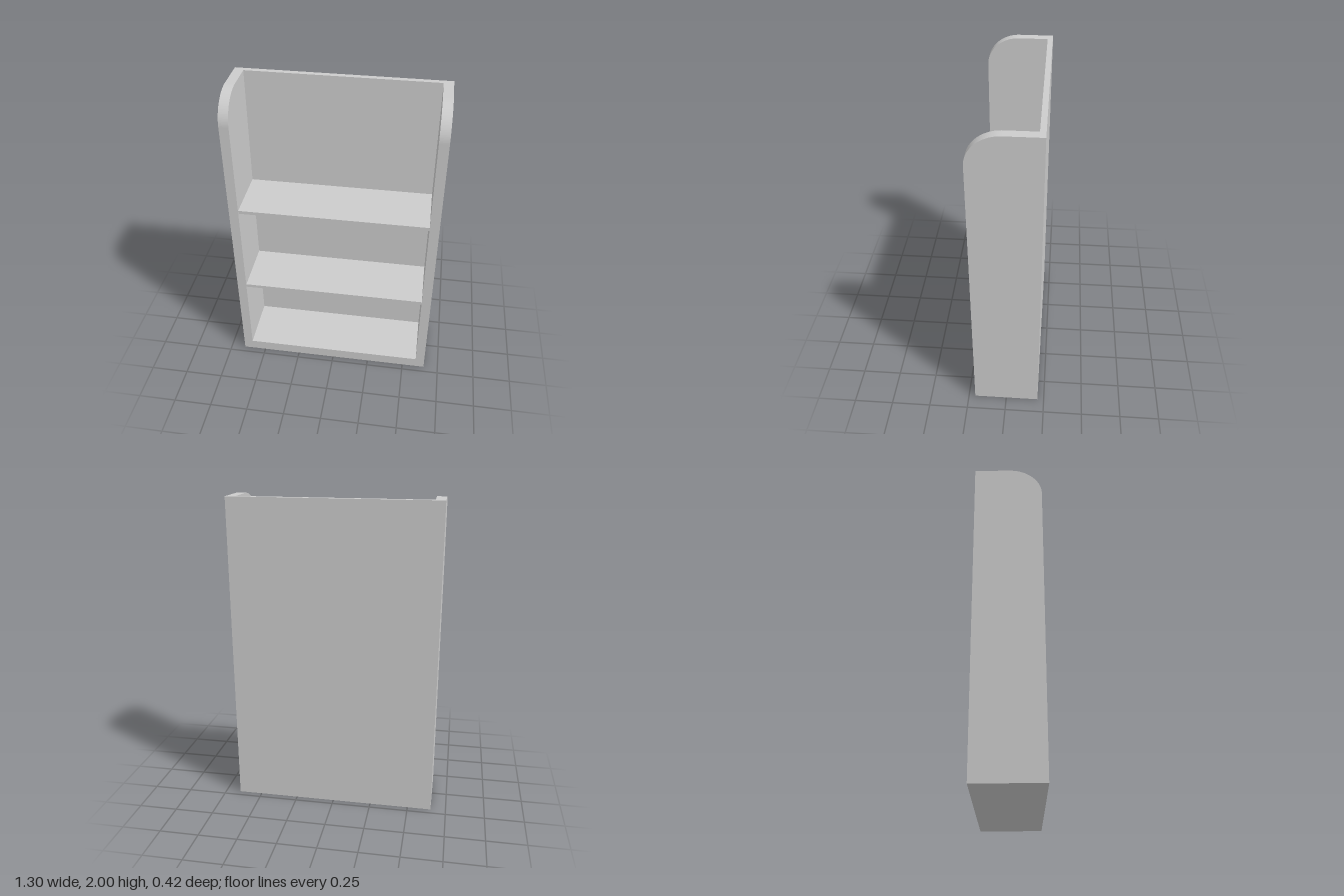
import * as THREE from 'three';

const W = 0.652, INNER = 0.592, D = 0.208, H = 2, FLOOR = 0.07;

// Extrudes a (z, y) profile along x, from x0 to x1
function extrudeAcross(shape, x0, x1, material, name) {
  const geometry = new THREE.ExtrudeGeometry(shape, { depth: x1 - x0, bevelEnabled: false, curveSegments: 16 });
  geometry.rotateY(-Math.PI / 2); // profile x -> +z, depth -> -x
  geometry.translate(x1, 0, 0);
  const mesh = new THREE.Mesh(geometry, material);
  mesh.name = name;
  return mesh;
}

function createBoard(name, y0, y1, z0, z1, material) {
  const mesh = new THREE.Mesh(new THREE.BoxGeometry(INNER * 2, y1 - y0, z1 - z0), material);
  mesh.position.set(0, (y0 + y1) / 2, (z0 + z1) / 2);
  mesh.name = name;
  return mesh;
}

export function createModel() {
  const group = new THREE.Group();
  group.name = 'bookcase';
  const material = new THREE.MeshStandardMaterial({ color: 0xcccccc });

  // Side panels with a rounded upper front corner
  const side = new THREE.Shape();
  side.moveTo(-D, 0);
  side.lineTo(D, 0);
  side.lineTo(D, H - 0.18);
  side.absellipse(D - 0.2, H - 0.18, 0.2, 0.18, 0, Math.PI / 2, false);
  side.lineTo(-D, H);
  side.closePath();
  group.add(extrudeAcross(side, INNER, W, material, 'leftSide'));
  group.add(extrudeAcross(side, -W, -INNER, material, 'rightSide'));

  // Back panel, thinning slightly towards the top
  const back = new THREE.Shape([
    [-D, 0], [-0.157, 0], [-0.157, 1.237], [-0.175, H], [-D, H],
  ].map(([z, y]) => new THREE.Vector2(z, y)));
  group.add(extrudeAcross(back, -INNER, INNER, material, 'backPanel'));

  // Base and the two shelves
  group.add(createBoard('base', 0, FLOOR, -0.157, D, material));
  group.add(createBoard('lowerShelf', 0.6, 0.622, -0.157, 0.204, material));
  group.add(createBoard('upperShelf', 1.215, 1.237, -0.157, 0.204, material));

  return group;
}
